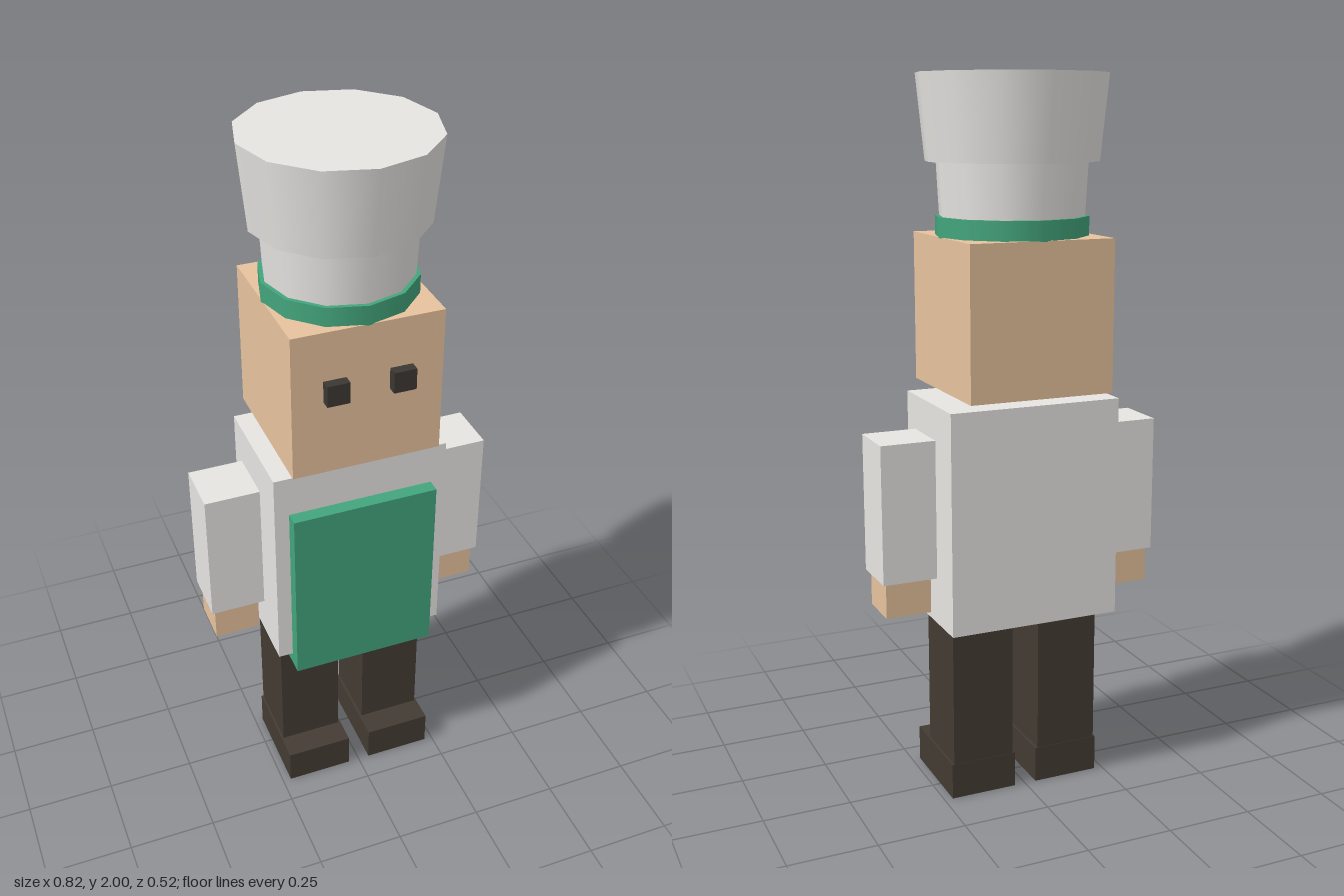
import * as THREE from 'three';

const material = (name, color) => {
  const m = new THREE.MeshStandardMaterial({ color });
  m.name = name;
  return m;
};

export function createModel() {
  const model = new THREE.Group();
  model.name = 'blockCook';

  const white = material('white cloth', 0xe7e5e2);
  const green = material('green cloth', 0x43a57c);
  const skin = material('skin', 0xe8c39e);
  const dark = material('dark brown', 0x433b33);
  const eyeColor = material('eye black', 0x3b3733);

  const add = (name, geometry, mat, x, y, z) => {
    const mesh = new THREE.Mesh(geometry, mat);
    mesh.name = name;
    mesh.position.set(x, y, z);
    model.add(mesh);
  };

  // Box given by its limits along each axis
  const box = (name, mat, [x0, x1], [y0, y1], [z0, z1]) =>
    add(name, new THREE.BoxGeometry(x1 - x0, y1 - y0, z1 - z0), mat,
      (x0 + x1) / 2, (y0 + y1) / 2, (z0 + z1) / 2);

  // Twelve-sided hat section between two heights
  const ring = (name, mat, rTop, rBottom, y0, y1) =>
    add(name, new THREE.CylinderGeometry(rTop, rBottom, y1 - y0, 12), mat, 0, (y0 + y1) / 2, 0);

  // Body, apron and head
  box('torso', white, [-0.247, 0.247], [0.518, 1.138], [-0.167, 0.167]);
  box('apron', green, [-0.206, 0.206], [0.482, 1.02], [0.132, 0.206]);
  box('head', skin, [-0.206, 0.206], [1.164, 1.578], [-0.206, 0.206]);

  // Paired limbs and eyes
  for (const [side, s] of [['left', 1], ['right', -1]]) {
    const pair = (part, mat, [a, b], y, z) =>
      box(side + part, mat, s > 0 ? [a, b] : [-b, -a], y, z);
    pair('Arm', white, [0.257, 0.411], [0.66, 1.048], [-0.077, 0.077]);
    pair('Hand', skin, [0.271, 0.4], [0.56, 0.662], [-0.064, 0.064]);
    pair('Leg', dark, [0.04, 0.22], [0.1, 0.492], [-0.096, 0.098]);
    pair('Shoe', dark, [0.033, 0.226], [0, 0.104], [-0.097, 0.174]);
    pair('Eye', eyeColor, [0.059, 0.121], [1.38, 1.44], [0.2, 0.234]);
  }

  // Tall cook's hat
  ring('hatBand', green, 0.209, 0.209, 1.576, 1.63);
  ring('hatBase', white, 0.206, 0.196, 1.6, 1.79);
  ring('hatCrown', white, 0.258, 0.235, 1.773, 2);

  return model;
}
